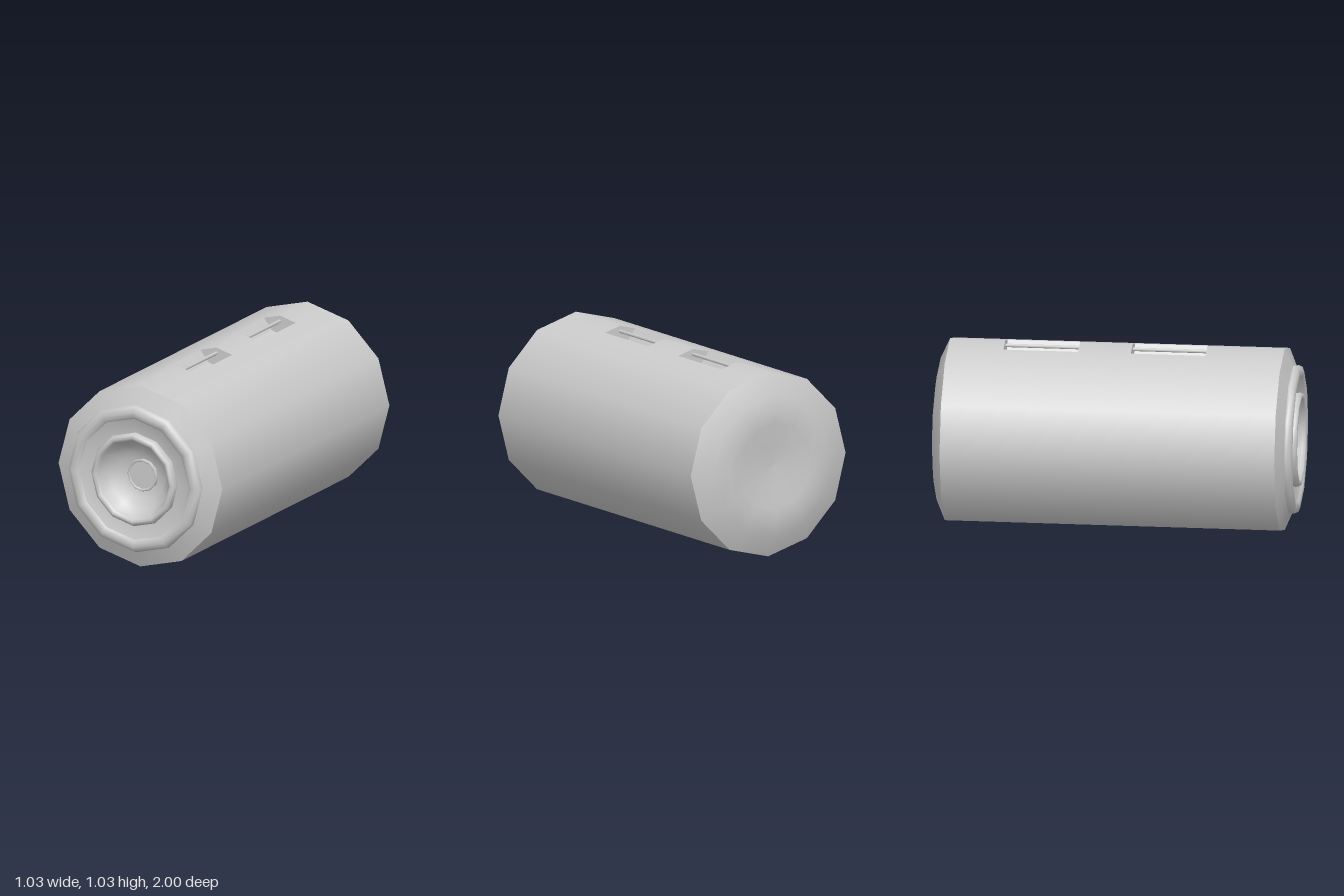
import * as THREE from 'three';

const R = 0.515, SIDES = 12, AXIS_Y = 0.515;
const BACK_Z = -0.935, FRONT_Z = 0.905;
const HALF = 0.1; // half width of the slots
const SLOTS = [[-0.63, -0.22], [0.07, 0.48]]; // z ranges
const material = new THREE.MeshStandardMaterial({ color: 0xcccccc, side: THREE.DoubleSide });

function mesh(name, geometry) {
  const m = new THREE.Mesh(geometry, material);
  m.name = name;
  return m;
}

// Twelve-sided turned part along z; points are [radius, z]
function turned(name, points) {
  const g = new THREE.LatheGeometry(points.map(([r, z]) => new THREE.Vector2(r, z)), SIDES);
  return mesh(name, g.rotateX(Math.PI / 2));
}

// Height of the faceted roof above the axis near its ridge
const roofY = x => R - Math.abs(x) * Math.tan(Math.PI / 12);

// Quads joining neighbouring outline points between two z values
function addStrip(pos, a, b, z0, z1) {
  pos.push(a[0], a[1], z0, b[0], b[1], z1, a[0], a[1], z1,
    a[0], a[1], z0, b[0], b[1], z0, b[0], b[1], z1);
}

// Body wall: faceted outline clockwise from the top, with the slot openings left out
function bodyWall() {
  const ring = [];
  for (let i = 0; i < SIDES; i++) {
    const t = i * 2 * Math.PI / SIDES;
    ring.push([R * Math.sin(t), R * Math.cos(t)]);
  }
  ring.splice(1, 0, [HALF, roofY(HALF)]);
  ring.push([-HALF, roofY(HALF)]);
  const cuts = [BACK_Z, ...SLOTS.flat(), FRONT_Z];
  const pos = [];
  ring.forEach((a, i) => {
    const b = ring[(i + 1) % ring.length];
    const overSlot = i === 0 || i === ring.length - 1;
    for (let k = 0; k < cuts.length - 1; k++) {
      if (overSlot && k % 2 === 1) continue;
      // wound so that the outside is the front
      addStrip(pos, b, a, cuts[k], cuts[k + 1]);
    }
  });
  // reverse the triangles and give them radial normals
  const out = [], normals = [];
  for (let i = 0; i < pos.length; i += 9) {
    for (const j of [0, 6, 3]) {
      const [x, y, z] = pos.slice(i + j, i + j + 3);
      const l = Math.hypot(x, y);
      out.push(x, y, z);
      normals.push(x / l, y / l, 0);
    }
  }
  const g = new THREE.BufferGeometry();
  g.setAttribute('position', new THREE.Float32BufferAttribute(out, 3));
  g.setAttribute('normal', new THREE.Float32BufferAttribute(normals, 3));
  // make the winding agree with the outward normals
  const p = g.attributes.position, a = new THREE.Vector3(), b = new THREE.Vector3(), c = new THREE.Vector3();
  a.fromBufferAttribute(p, 0); b.fromBufferAttribute(p, 1); c.fromBufferAttribute(p, 2);
  const face = b.clone().sub(a).cross(c.clone().sub(a));
  if (face.dot(new THREE.Vector3(a.x + b.x + c.x, a.y + b.y + c.y, 0)) < 0) {
    const order = [];
    for (let i = 0; i < p.count; i += 3) order.push(i, i + 2, i + 1);
    g.setIndex(order);
  }
  return mesh('bodyWall', g);
}

// Scooped slot with end walls and a thin bar along its middle
function slot(z0, z1) {
  const group = new THREE.Group();
  group.name = 'slot';
  const edge = roofY(HALF);
  const scoop = [[-HALF, edge], [-0.05, edge - 0.064], [0, edge - 0.08], [0.05, edge - 0.064], [HALF, edge]];
  const pos = [];
  for (let i = 0; i < scoop.length - 1; i++) addStrip(pos, scoop[i + 1], scoop[i], z0, z1);
  const floor = new THREE.BufferGeometry();
  floor.setAttribute('position', new THREE.Float32BufferAttribute(pos, 3));
  floor.computeVertexNormals();
  group.add(mesh('slotFloor', floor));

  const outline = new THREE.Shape([...scoop, [0, R]].map(([x, y]) => new THREE.Vector2(x, y)));
  const back = mesh('slotEnd', new THREE.ShapeGeometry(outline));
  back.position.z = z0;
  const front = mesh('slotEnd', new THREE.ShapeGeometry(outline));
  front.position.z = z1;

  const bar = mesh('slotBar', new THREE.CylinderGeometry(0.01, 0.01, z1 - z0, 8).rotateX(Math.PI / 2));
  bar.position.set(0, edge - 0.004, (z0 + z1) / 2);
  group.add(back, front, bar);
  return group;
}

export function createModel() {
  const model = new THREE.Group();
  model.name = 'cylinder';
  model.add(bodyWall());
  for (const [z0, z1] of SLOTS) model.add(slot(z0, z1));

  // Rounded back with a shallow dimple
  model.add(turned('backCap', [[0, -0.975], [0.12, -0.982], [0.24, -1], [0.31, -1], [0.4, -0.987], [R, BACK_Z]]));

  // Front bevel, rings and central dish
  model.add(turned('frontBevel', [[R, FRONT_Z], [0.415, 0.948]]));
  model.add(turned('outerRing', [[0.415, 0.948], [0.42, 0.96], [0.41, 0.98], [0.385, 0.99], [0.36, 0.987], [0.345, 0.975]]));
  model.add(turned('ringValley', [[0.345, 0.975], [0.3, 0.96], [0.262, 0.955]]));
  model.add(turned('innerRing', [[0.262, 0.955], [0.266, 0.98], [0.255, 0.997], [0.24, 1], [0.227, 0.993], [0.22, 0.975]]));
  model.add(turned('dish', [[0.22, 0.975], [0.19, 0.92], [0.14, 0.88], [0.09, 0.868]]));
  model.add(turned('centreRing', [[0.09, 0.868], [0.093, 0.885], [0.086, 0.893], [0.078, 0.885]]));
  model.add(turned('centreDisc', [[0.078, 0.885], [0, 0.885]]));

  model.position.y = AXIS_Y;
  const root = new THREE.Group();
  root.name = 'model';
  root.add(model);
  return root;
}
